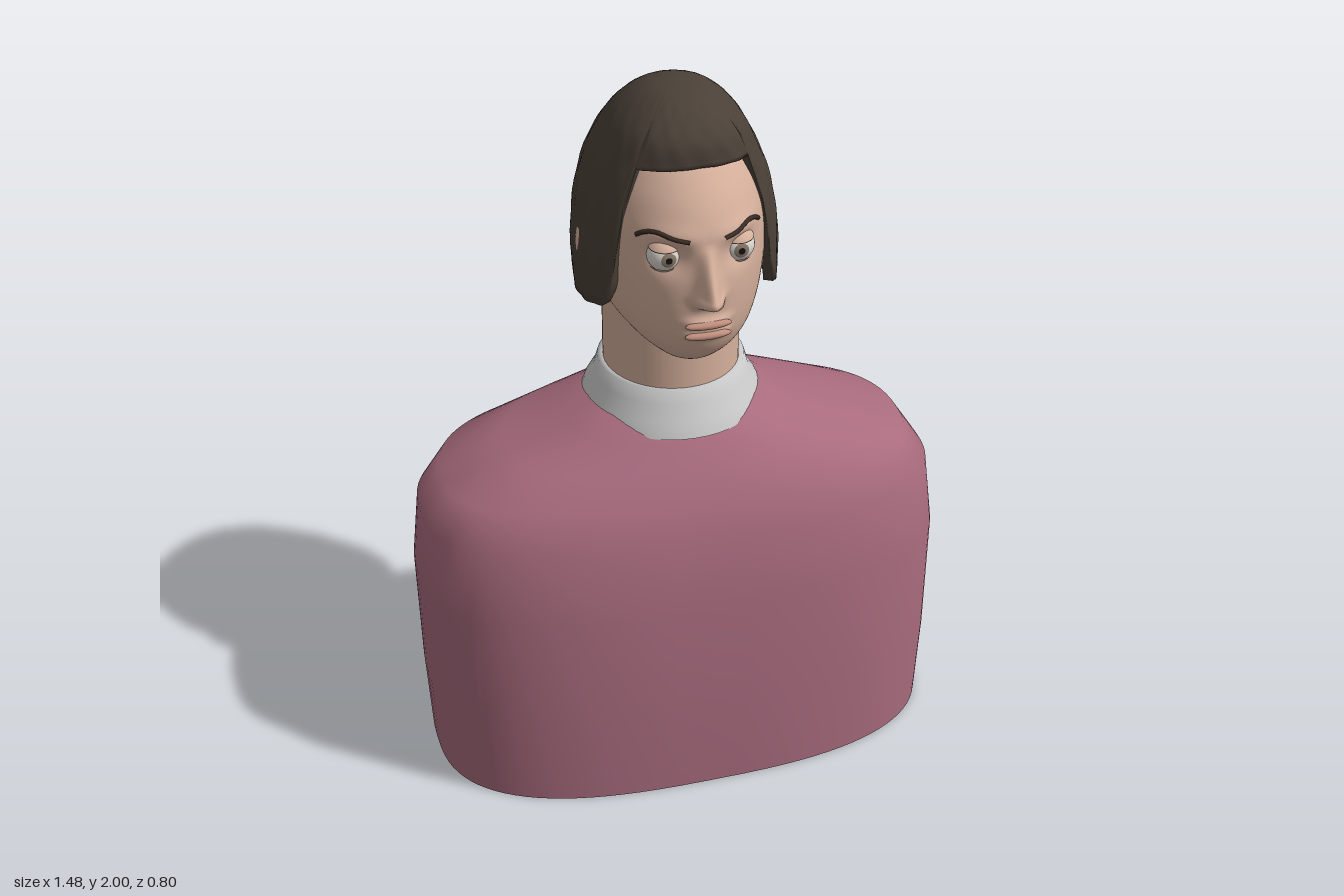
import * as THREE from 'three';

const mat = (color, side = THREE.FrontSide) => new THREE.MeshStandardMaterial({ color, side });
const SKIN = 0xd6b09c, HAIR = 0x4a4037;
const gauss = (d, w) => Math.exp(-(d / w) * (d / w));
const { smoothstep, lerp, degToRad } = THREE.MathUtils;

// Smooth interpolation through rows of numbers, t in 0..1
function spline(rows, t) {
  const k = t * (rows.length - 1);
  const i = Math.min(Math.floor(k), rows.length - 2), f = k - i;
  const row = (j) => rows[Math.max(0, Math.min(rows.length - 1, j))];
  return rows[0].map((_, c) => {
    const a = row(i - 1)[c], b = row(i)[c], d = row(i + 1)[c], e = row(i + 2)[c];
    return b + 0.5 * f * (d - a + f * (2 * a - 5 * b + 4 * d - e + f * (3 * (b - d) + e - a)));
  });
}

// Point on a rounded outline; angle 0 faces +z and grows towards +x
function outline(angle, hw, z0, zf, zb, n) {
  const pw = (v) => Math.sign(v) * Math.pow(Math.abs(v), 2 / n);
  const s = pw(Math.sin(angle)), c = pw(Math.cos(angle));
  return [hw * s, z0 + c * (c > 0 ? zf - z0 : z0 - zb)];
}

// Closed ring surface, rows running upwards
function rings(cols, rows, point) {
  const pos = [], idx = [];
  for (let j = 0; j <= rows; j++)
    for (let i = 0; i < cols; i++) pos.push(...point((i / cols) * Math.PI * 2, j));
  for (let j = 0; j < rows; j++)
    for (let i = 0; i < cols; i++) {
      const a = j * cols + i, b = j * cols + ((i + 1) % cols);
      idx.push(a, b, b + cols, a, b + cols, a + cols);
    }
  const g = new THREE.BufferGeometry();
  g.setAttribute('position', new THREE.Float32BufferAttribute(pos, 3));
  g.setIndex(idx);
  g.computeVertexNormals();
  return g;
}

function torsoGeometry() {
  // y, half width, front z, back z, roundness
  const rows = [
    [0, 0.72, 0.4, -0.38, 2.7], [0.25, 0.733, 0.4, -0.386, 2.7], [0.6, 0.74, 0.384, -0.396, 2.7],
    [0.8, 0.72, 0.347, -0.39, 2.6], [0.9, 0.655, 0.302, -0.37, 2.5], [0.97, 0.475, 0.255, -0.33, 2.3],
    [1.03, 0.305, 0.207, -0.285, 2.2], [1.08, 0.24, 0.165, -0.25, 2], [1.085, 0.17, 0.11, -0.2, 2],
  ];
  return rings(96, rows.length - 1, (a, j) => {
    const [y, hw, zf, zb, n] = rows[j];
    const [x, z] = outline(a, hw, 0, zf, zb, n);
    return [x, y, z];
  });
}

// Nose, lips, brow ridge and eye sockets pushed out of the face
function relief(x, y) {
  const ax = Math.abs(x);
  const rise = y > 1.535 ? Math.max(0, 1 - (y - 1.535) / 0.14) : smoothstep(y, 1.495, 1.535);
  const nose = 0.072 * rise * gauss(x, 0.018 + 0.012 * rise);
  const wings = 0.02 * gauss(ax - 0.028, 0.014) * gauss(y - 1.525, 0.018);
  const lips = 0.018 * Math.exp(-Math.pow(x / 0.06, 4)) * (gauss(y - 1.457, 0.014) + gauss(y - 1.422, 0.014));
  const brow = 0.01 * gauss(ax - 0.09, 0.06) * gauss(y - 1.695, 0.025);
  const socket = 0.024 * gauss(ax - 0.09, 0.045) * gauss(y - 1.64, 0.04);
  return nose + wings + lips + brow - socket;
}

function headGeometry() {
  // front y, back y, half width, middle z, front z, back z
  const rows = [
    [1.28, 1.285, 0, 0.14, 0.141, 0.139], [1.29, 1.305, 0.07, 0.12, 0.2, 0.06],
    [1.325, 1.36, 0.125, 0.09, 0.25, -0.03], [1.365, 1.4, 0.165, 0.06, 0.283, -0.12],
    [1.42, 1.415, 0.195, 0.02, 0.303, -0.24], [1.5, 1.47, 0.217, 0, 0.31, -0.3],
    [1.6, 1.6, 0.227, 0, 0.306, -0.32], [1.7, 1.7, 0.218, 0, 0.296, -0.31],
    [1.8, 1.8, 0.188, 0, 0.243, -0.26], [1.88, 1.88, 0.135, 0, 0.16, -0.18], [1.93, 1.93, 0, 0, 0, 0],
  ];
  const steps = 110;
  return rings(120, steps, (u, j) => {
    const a = u - 0.55 * Math.sin(u); // more columns across the face
    const [yf, yb, hw, z0, zf, zb] = spline(rows, j / steps);
    const [x, z] = outline(a, hw, z0, zf, zb, 2);
    const y = lerp(yb, yf, 0.5 + 0.5 * Math.cos(a));
    return [x, y, Math.cos(a) > 0 ? z + relief(x, y) : z];
  });
}

function hairGeometry() {
  // half width, front z, back z from the crown down
  const rows = [
    [0, 0, 0], [0.065, 0.09, -0.06], [0.115, 0.155, -0.13], [0.162, 0.205, -0.2], [0.2, 0.216, -0.275],
    [0.236, 0.225, -0.335], [0.26, 0.235, -0.36], [0.268, 0.24, -0.367], [0.26, 0.23, -0.35],
  ];
  // Lower edge: fringe, then the cut round the face, then sloping to the nape
  const edge = (deg) => {
    if (deg < 44) return 1.848 - 0.008 * (deg / 44);
    if (deg < 48) return lerp(1.84, 1.58, (deg - 44) / 4);
    if (deg < 58) return lerp(1.58, 1.45, Math.sqrt((deg - 48) / 10));
    return lerp(1.45, 1.36, Math.pow((deg - 58) / 122, 0.8));
  };
  const steps = 30;
  return rings(180, steps + 1, (a, j) => {
    const deg = (Math.min(a, Math.PI * 2 - a) * 180) / Math.PI;
    const v = Math.max(0, j - 1) / steps;
    const g = Math.sqrt((2 - edge(deg)) / 0.64) * (1 - v);
    const [hw, zf, zb] = spline(rows, g);
    const lip = j === 0 ? 0.9 : 1; // first ring turns inwards for thickness
    const wave = lip * (1 + 0.008 * Math.sin(a * 20) * Math.cos(g * 30));
    const [x, z] = outline(a, hw, 0, zf, zb, deg < 90 ? 2.3 : 2);
    return [x * wave, 2 - 0.64 * g * g, z * wave];
  });
}

export function createModel() {
  const model = new THREE.Group();
  const add = (name, geometry, material, parent = model) => {
    const mesh = new THREE.Mesh(geometry, material);
    mesh.name = name;
    parent.add(mesh);
    return mesh;
  };
  const skin = mat(SKIN), dark = mat(0x3a2c24);

  // Body, collar and neck
  add('torso', torsoGeometry(), mat(0xa86b7e, THREE.DoubleSide));
  const collarProfile = [[0.252, 1.045], [0.238, 1.085], [0.212, 1.13], [0.2, 1.17], [0.184, 1.17]];
  const collar = add('collar', new THREE.LatheGeometry(collarProfile.map((p) => new THREE.Vector2(...p)), 48),
    mat(0xcccccc, THREE.DoubleSide));
  collar.position.z = -0.042;
  const neck = add('neck', new THREE.CylinderGeometry(0.185, 0.185, 0.4, 48), skin);
  neck.scale.z = 1.04;
  neck.position.set(0, 1.21, -0.042);

  // Head and hair
  const head = add('head', headGeometry(), skin);
  add('hair', hairGeometry(), mat(HAIR, THREE.DoubleSide));

  // Point lying on the face at a given x and y
  const ray = new THREE.Raycaster();
  const onFace = (x, y, lift) => {
    ray.set(new THREE.Vector3(x, y, 2), new THREE.Vector3(0, 0, -1));
    const hit = ray.intersectObject(head)[0];
    return new THREE.Vector3(x, y, (hit ? hit.point.z : 0.25) + lift);
  };

  // Lips
  const lipMat = mat(0xc2907f);
  [['upperLip', 1.456], ['lowerLip', 1.424]].forEach(([name, y]) => {
    const lip = add(name, new THREE.SphereGeometry(1, 24, 12), lipMat);
    lip.scale.set(0.062, 0.012, 0.016);
    lip.position.copy(onFace(0, y, -0.011));
  });

  for (const side of [-1, 1]) {
    const label = side > 0 ? 'left' : 'right';

    // Eye with iris, pupil and lids
    const r = 0.046;
    const eye = new THREE.Group();
    eye.name = label + 'Eye';
    eye.position.set(side * 0.095, 1.637, 0.237);
    model.add(eye);
    const cap = (name, radius, angle, material, tilt) => {
      const g = new THREE.SphereGeometry(radius, 28, 10, 0, Math.PI * 2, 0, degToRad(angle));
      add(name, g, material, eye).rotation.x = degToRad(tilt);
    };
    add('eyeball', new THREE.SphereGeometry(r, 28, 18), mat(0xdedad4), eye);
    cap('iris', r * 1.015, 25, mat(0x8b7a6c), 90);
    cap('pupil', r * 1.03, 11, mat(0x15110f), 90);
    cap('upperLash', r * 1.04, 62, dark, 4);
    cap('upperLid', r * 1.07, 59, skin, 4);
    cap('lowerLid', r * 1.06, 57, skin, 180);

    // Arched eyebrow
    const arch = [[0.045, 1.688], [0.08, 1.695], [0.12, 1.706], [0.142, 1.7], [0.16, 1.685]];
    const path = new THREE.CatmullRomCurve3(arch.map(([x, y]) => onFace(side * x, y, 0.001)));
    add(label + 'Eyebrow', new THREE.TubeGeometry(path, 20, 0.006, 8), dark);

    // Ear, mostly under the hair
    const ear = add(label + 'Ear', new THREE.SphereGeometry(1, 20, 14), skin);
    ear.scale.set(0.03, 0.07, 0.04);
    ear.position.set(side > 0 ? 0.228 : -0.24, 1.57, 0.01);
  }
  return model;
}
